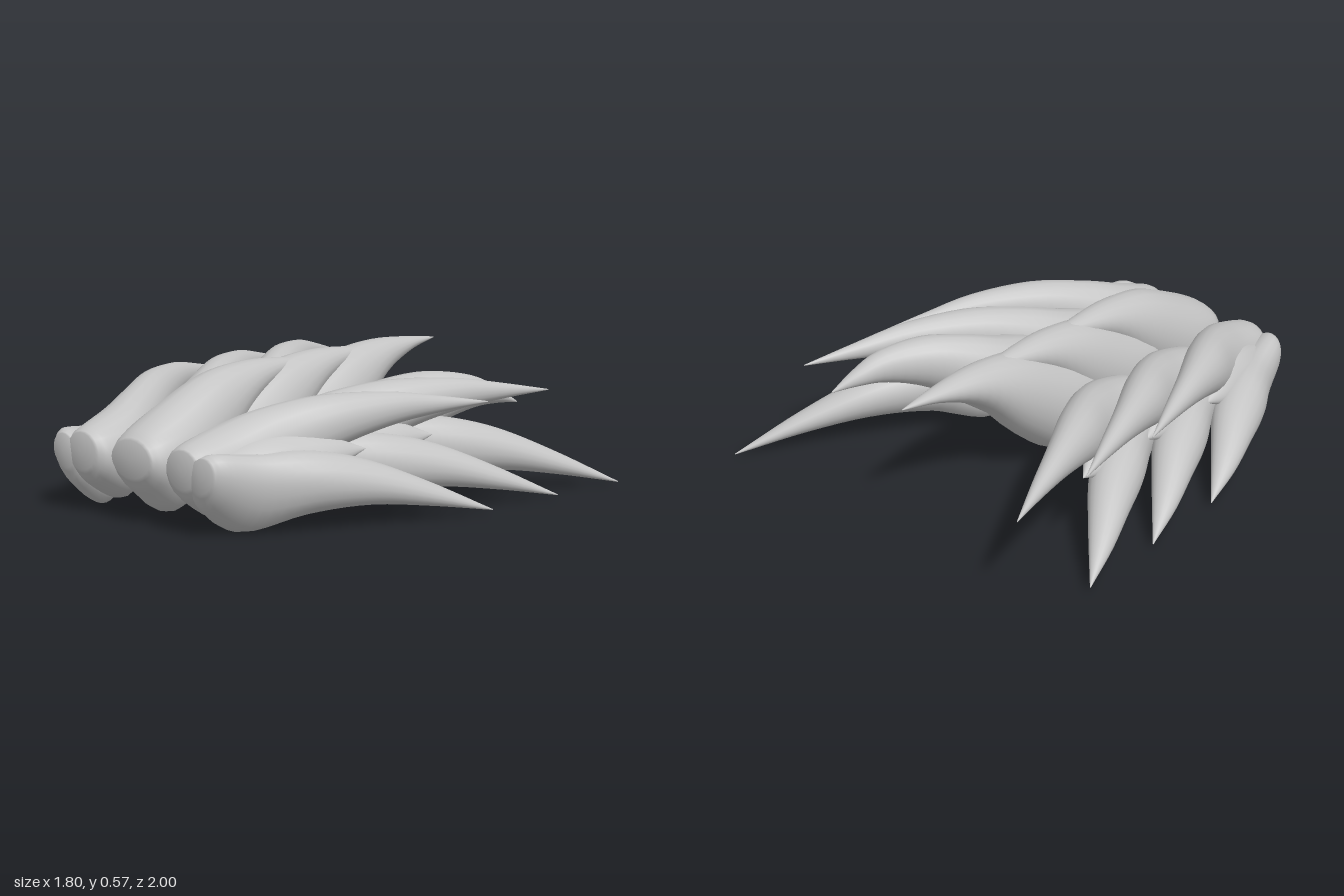
import * as THREE from 'three';

const AXIS_X = -0.06; // centre line of the crest
const SIDES = 20;
const STEPS = 28;

// Station tables: [distance back, distance out, y, half width, half height]
const CENTRE = [
  [0, 0, 0.265, 0.105, 0.075],
  [0.06, 0, 0.25, 0.145, 0.135],
  [0.2, 0, 0.245, 0.163, 0.215],
  [0.42, 0, 0.365, 0.135, 0.185],
  [0.64, 0, 0.485, 0.09, 0.09],
  [0.85, 0, 0.53, 0.045, 0.035],
  [1.05, 0, 0.54, 0.002, 0.002],
];
const UPPER = [
  [0, 0.28, 0.26, 0.08, 0.075],
  [0.05, 0.28, 0.24, 0.12, 0.12],
  [0.2, 0.295, 0.225, 0.145, 0.185],
  [0.36, 0.355, 0.295, 0.125, 0.165],
  [0.56, 0.46, 0.38, 0.105, 0.115],
  [0.8, 0.57, 0.42, 0.065, 0.07],
  [1.0, 0.645, 0.42, 0.034, 0.035],
  [1.2, 0.72, 0.41, 0.002, 0.002],
];
const LOWER = [
  [0, 0.38, 0.25, 0.06, 0.07],
  [0.05, 0.385, 0.215, 0.085, 0.125],
  [0.2, 0.42, 0.16, 0.11, 0.165],
  [0.4, 0.535, 0.19, 0.125, 0.125],
  [0.62, 0.65, 0.175, 0.11, 0.085],
  [0.85, 0.78, 0.11, 0.066, 0.045],
  [1.1, 0.91, 0.02, 0.002, 0.002],
];
const WEB = [
  [0.06, 0.35, 0.22, 0.07, 0.08],
  [0.25, 0.39, 0.235, 0.13, 0.125],
  [0.4, 0.46, 0.27, 0.12, 0.09],
  [0.53, 0.53, 0.285, 0.07, 0.05],
  [0.66, 0.585, 0.285, 0.002, 0.002],
];

// Lofts rolled ellipses through the stations, bending the path to reach a tip
function spikeGeometry(stations, { side = 1, z = 1, roll = 0, tip = null, lift = 0 }) {
  const last = stations[stations.length - 1];
  const end = tip || { back: last[0], out: last[1], y: last[2] };
  const stretch = end.back / last[0];
  const path = [], size = [];
  for (const [back, out, y, a, b] of stations) {
    const t = back / last[0];
    path.push(new THREE.Vector3(
      AXIS_X + side * (out + (end.out - last[1]) * t * t),
      y + (end.y - last[2]) * t * t + lift * (1 - t),
      z - back * (1 + (stretch - 1) * t)));
    size.push(new THREE.Vector3(a, b, 0));
  }
  const pathCurve = new THREE.CatmullRomCurve3(path, false, 'catmullrom', 0.5);
  const sizeCurve = new THREE.CatmullRomCurve3(size, false, 'catmullrom', 0.5);
  const positions = [], index = [];
  const c = Math.cos(roll * side), s = Math.sin(roll * side);
  for (let i = 0; i <= STEPS; i++) {
    const p = pathCurve.getPoint(i / STEPS), r = sizeCurve.getPoint(i / STEPS);
    for (let j = 0; j < SIDES; j++) {
      const angle = (j / SIDES) * Math.PI * 2;
      const ex = Math.max(r.x, 0.001) * Math.cos(angle);
      const ey = Math.max(r.y, 0.001) * Math.sin(angle);
      positions.push(p.x + ex * c - ey * s, p.y + ex * s + ey * c, p.z);
    }
  }
  for (let i = 0; i < STEPS; i++) {
    for (let j = 0; j < SIDES; j++) {
      const k = (j + 1) % SIDES;
      const a = i * SIDES + j, b = i * SIDES + k;
      index.push(a, a + SIDES, b, b, a + SIDES, b + SIDES);
    }
  }
  // Rounded root cap and tip cap
  const root = positions.length / 3;
  positions.push(path[0].x, path[0].y, path[0].z + 0.008);
  const e = path[path.length - 1];
  positions.push(e.x, e.y, e.z);
  for (let j = 0; j < SIDES; j++) {
    const k = (j + 1) % SIDES;
    index.push(root, j, k, root + 1, STEPS * SIDES + k, STEPS * SIDES + j);
  }
  const geometry = new THREE.BufferGeometry();
  geometry.setAttribute('position', new THREE.Float32BufferAttribute(positions, 3));
  geometry.setIndex(index);
  geometry.computeVertexNormals();
  return geometry;
}

export function createModel() {
  const model = new THREE.Group();
  model.name = 'spikyCrest';
  const grey = new THREE.MeshStandardMaterial({ color: 0xc4c4c4 });
  grey.name = 'plainGrey';

  const add = (parent, name, stations, options) => {
    const mesh = new THREE.Mesh(spikeGeometry(stations, options), grey);
    mesh.name = name;
    parent.add(mesh);
  };

  // Tips as [x, y, z] for each row, front to back
  const tufts = [
    { side: 1, name: 'left',
      upper: [[0.68, 0.41, -0.29], [0.69, 0.41, -0.69], [0.53, 0.34, -0.69]],
      lower: [[0.85, 0.02, -0.11], [0.87, 0.015, -0.52], [0.895, 0.01, -0.92]] },
    { side: -1, name: 'right',
      upper: [[-0.76, 0.41, -0.2], [-0.77, 0.41, -0.6], [-0.785, 0.4, -1.0]],
      lower: [[-0.86, 0.04, 0.06], [-0.88, 0.035, -0.33], [-0.905, 0.04, -0.73]] },
  ];

  for (let row = 0; row < 3; row++) {
    const z = 0.99 - row * 0.4;
    const lift = row * 0.02;
    add(model, `centreSpike${row + 1}`, CENTRE, { z });

    // Side tufts: two spikes joined by a web up to the fork
    for (const { side, name, upper, lower } of tufts) {
      const tuft = new THREE.Group();
      tuft.name = `${name}Tuft${row + 1}`;
      const reach = ([x, y, tz]) => ({ back: z - tz, out: side * (x - AXIS_X), y });
      const up = reach(upper[row]), low = reach(lower[row]);
      const fork = { back: 0.54 * up.back, out: 0.36 * (up.out + low.out), y: 0.285 };
      add(tuft, 'upperSpike', UPPER, { side, z, lift, roll: -0.1, tip: up });
      add(tuft, 'lowerSpike', LOWER, { side, z, lift, roll: -0.45, tip: low });
      add(tuft, 'web', WEB, { side, z, lift, roll: -0.85, tip: fork });
      model.add(tuft);
    }
  }
  return model;
}
